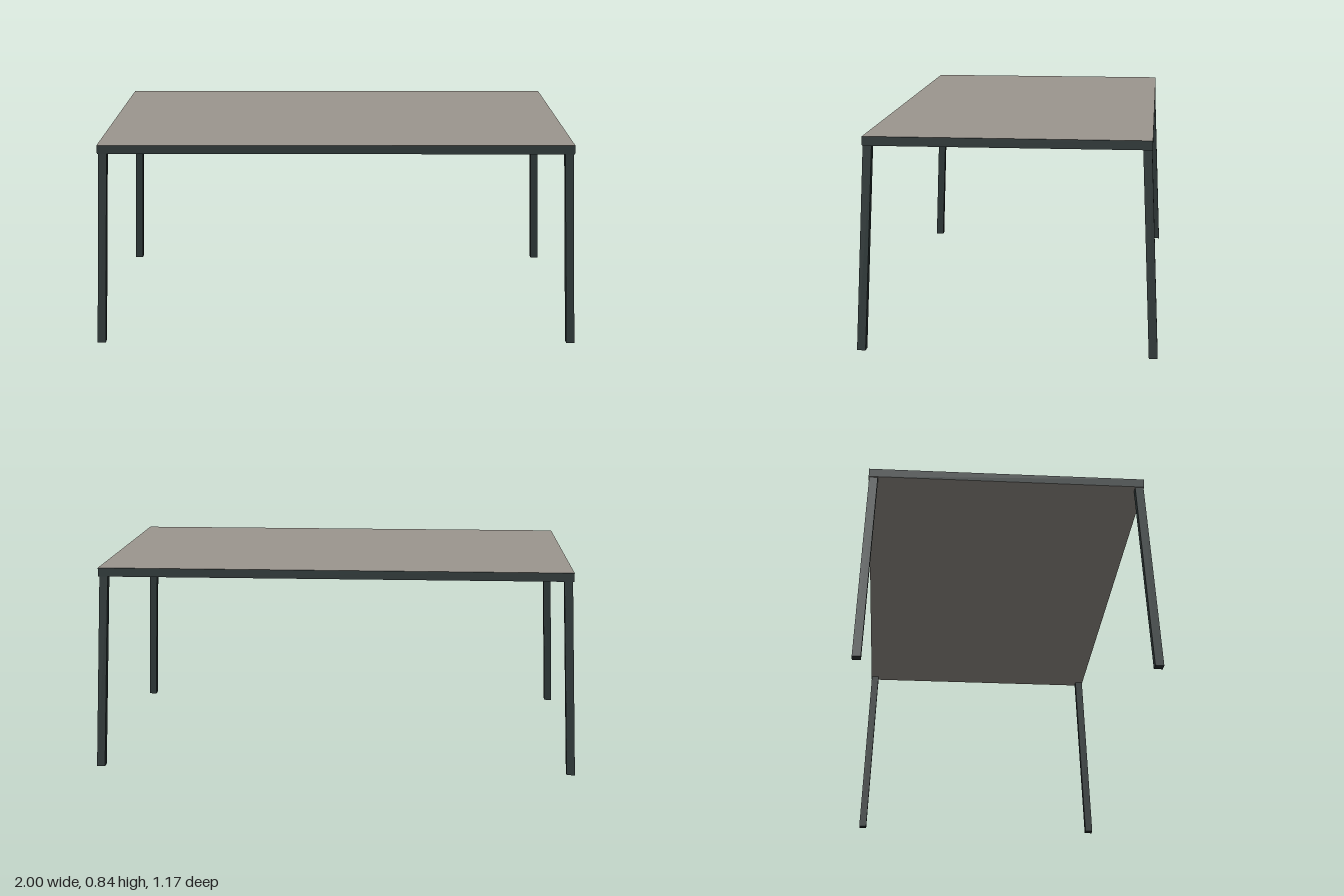
import * as THREE from 'three';

export function createModel() {
  const model = new THREE.Group();
  model.name = 'table';

  const stone = new THREE.MeshStandardMaterial({ color: 0x9c978f });
  stone.name = 'warm grey top';
  const steel = new THREE.MeshStandardMaterial({ color: 0x2b3535 });
  steel.name = 'dark steel';

  const halfX = 0.97, halfZ = 0.553, topY = 0.843, underY = 0.807;

  // Table slab: grey top and underside, dark edge band
  const slab = new THREE.Mesh(
    new THREE.BoxGeometry(halfX * 2, topY - underY, halfZ * 2),
    [steel, steel, stone, stone, steel, steel]
  );
  slab.name = 'tableTop';
  slab.position.y = (topY + underY) / 2;
  model.add(slab);

  // Square legs, sheared so the feet splay outward and stay flat on the floor
  const width = 0.034, splay = 0.035;
  const footX = 1 - width / 2, footZ = 0.586 - width / 2;
  for (const sx of [-1, 1]) {
    for (const sz of [-1, 1]) {
      const geo = new THREE.BoxGeometry(width, underY, width);
      geo.translate(0, underY / 2, 0);
      const pos = geo.attributes.position;
      for (let i = 0; i < pos.count; i++) {
        const t = pos.getY(i) / underY;
        pos.setX(i, pos.getX(i) + sx * (footX - splay * t));
        pos.setZ(i, pos.getZ(i) + sz * (footZ - splay * t));
      }
      geo.computeVertexNormals();
      const leg = new THREE.Mesh(geo, steel);
      leg.name = (sz > 0 ? 'front' : 'back') + (sx > 0 ? 'Left' : 'Right') + 'Leg';
      model.add(leg);
    }
  }

  return model;
}
